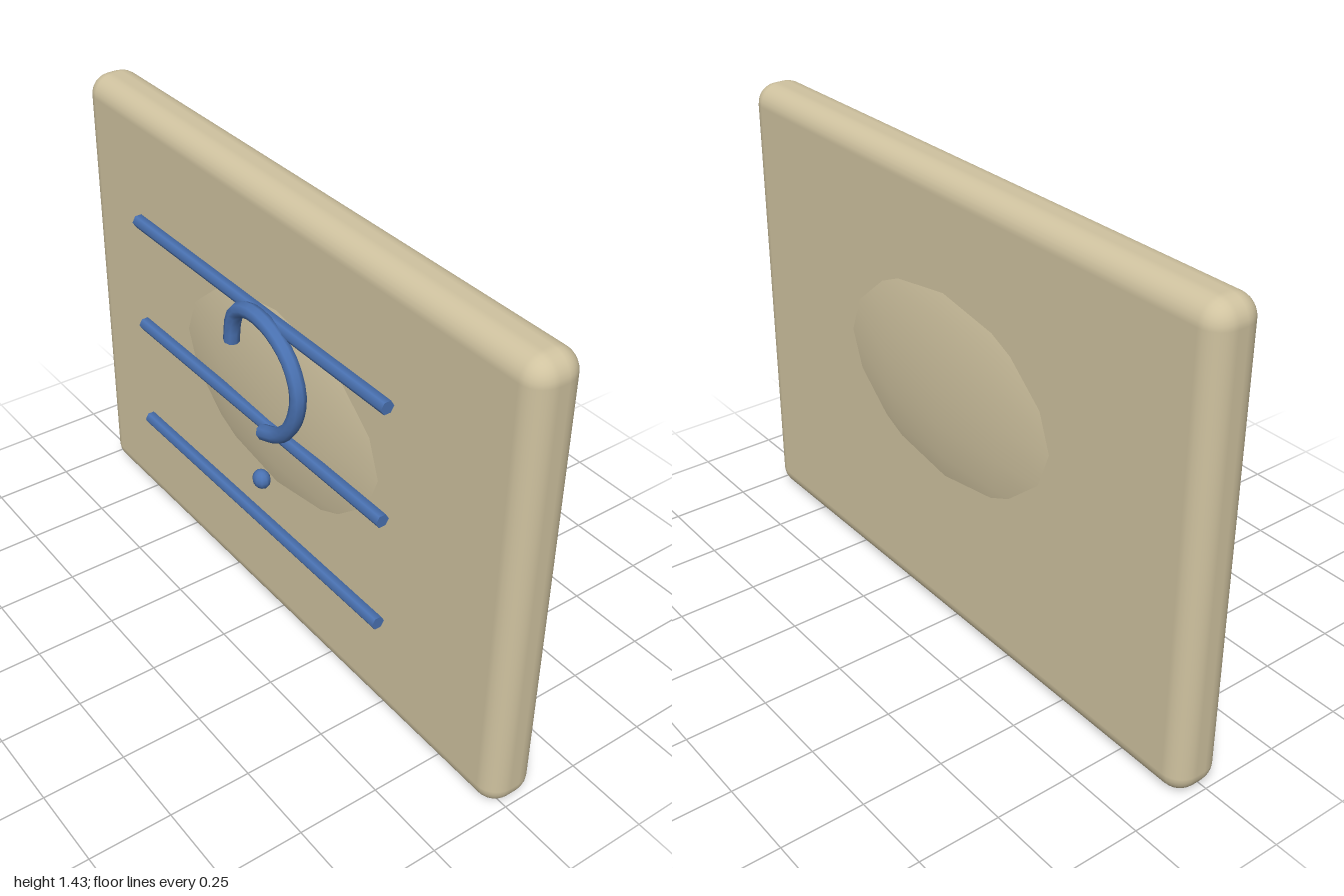
import * as THREE from 'three';
import { RoundedBoxGeometry } from 'three/addons/geometries/RoundedBoxGeometry.js';

export function createModel() {
  const model = new THREE.Group();
  const tan = new THREE.MeshStandardMaterial({ name: 'tan', color: 0xd0c3a0 });
  const blue = new THREE.MeshStandardMaterial({ name: 'blue', color: 0x4a72b2 });

  const add = (name, geometry, material, x, y, z) => {
    const mesh = new THREE.Mesh(geometry, material);
    mesh.name = name;
    mesh.position.set(x, y, z);
    model.add(mesh);
    return mesh;
  };

  // Upright slab with rounded edges
  add('slab', new RoundedBoxGeometry(2, 1.43, 0.16, 4, 0.065), tan, 0, 0.715, -0.025);

  // Flattened ellipsoid bulging through both faces
  const bulge = add('bulge', new THREE.SphereGeometry(1, 16, 12), tan, 0.01, 0.8, -0.025);
  bulge.scale.set(0.7, 0.44, 0.108);

  // Three horizontal hexagonal rods
  for (const y of [0.36, 0.72, 1.08]) {
    const rod = new THREE.CylinderGeometry(0.021, 0.021, 1.195, 6).rotateZ(Math.PI / 2);
    add('rod', rod, blue, -0.067, y, 0.084);
  }

  // Curved hook with closed ends
  const points = [
    [-0.13, 0.945], [-0.122, 1.01], [-0.1, 1.055], [-0.05, 1.083], [0.01, 1.088], [0.08, 1.07],
    [0.15, 1.02], [0.188, 0.94], [0.178, 0.86], [0.14, 0.79], [0.09, 0.745], [0.02, 0.717],
  ].map(([x, y]) => new THREE.Vector3(x, y, 0));
  const path = new THREE.CatmullRomCurve3(points);
  add('hook', new THREE.TubeGeometry(path, 24, 0.024, 8), blue, 0, 0, 0.11);
  for (const t of [0, 1]) {
    const end = path.getPointAt(t);
    const outward = path.getTangentAt(t).multiplyScalar(t ? 1 : -1);
    const cap = add('hookEnd', new THREE.CircleGeometry(0.024, 8), blue, end.x, end.y, 0.11);
    cap.quaternion.setFromUnitVectors(new THREE.Vector3(0, 0, 1), outward);
  }

  // Small ball below the hook
  add('ball', new THREE.SphereGeometry(0.03, 10, 8), blue, 0.01, 0.543, 0.11).scale.z = 0.85;

  return model;
}
